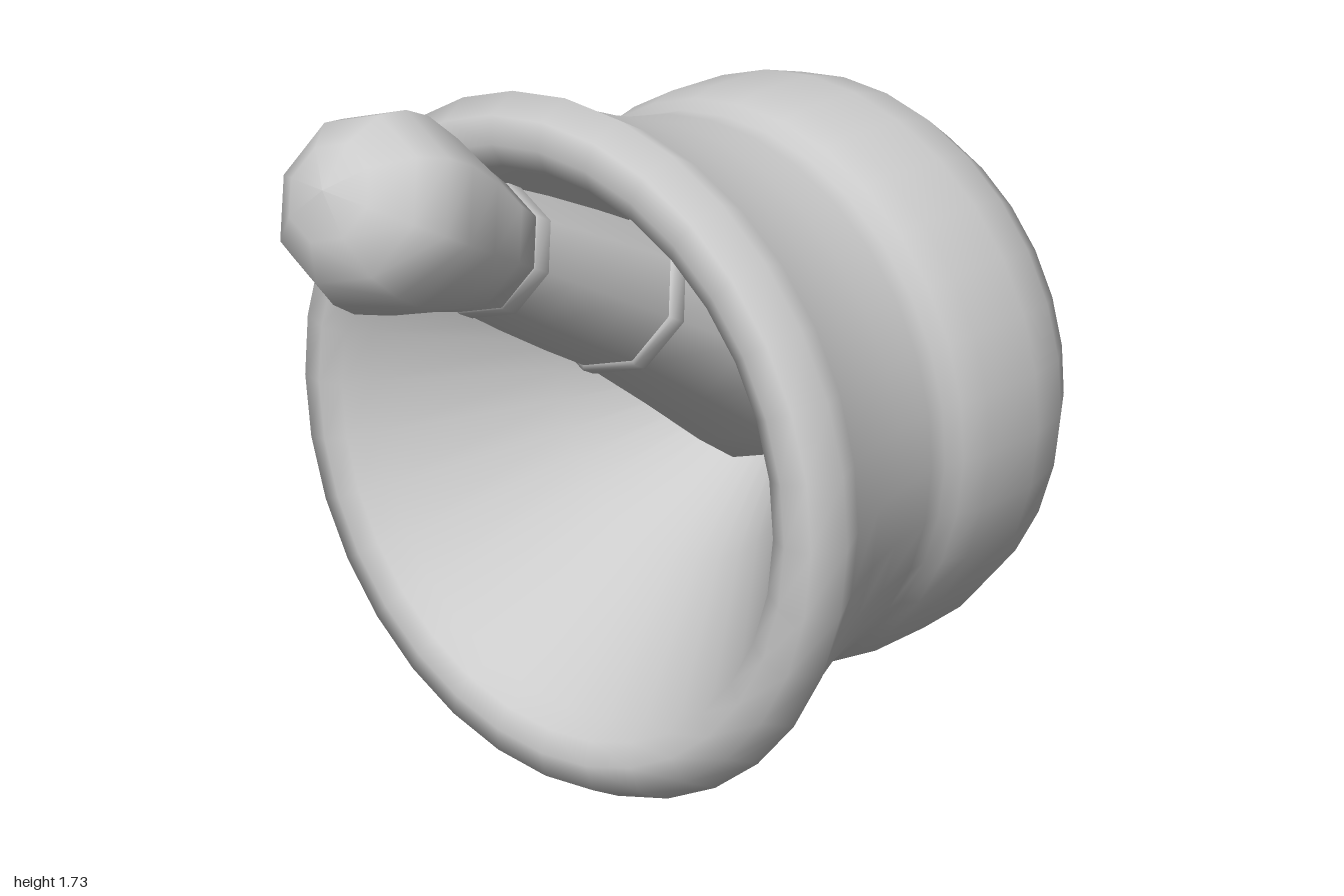
import * as THREE from 'three';

const material = new THREE.MeshStandardMaterial({ color: 0xcccccc });

// Revolved part from [radius, height] pairs, listed from bottom to top on the outside
function turned(name, profile, sides) {
  const points = profile.map(([r, h]) => new THREE.Vector2(r, h));
  const mesh = new THREE.Mesh(new THREE.LatheGeometry(points, sides), material);
  mesh.name = name;
  return mesh;
}

export function createModel() {
  const model = new THREE.Group();
  model.name = 'mortarAndPestle';

  // Mortar lying on its side: rounded foot, waist groove, flared rim, conical hollow
  const mortar = turned('mortar', [
    [0, -0.99], [0.36, -0.99], [0.565, -0.88], [0.64, -0.77], [0.67, -0.65],
    [0.67, -0.48], [0.655, -0.41], [0.637, -0.37], [0.64, -0.32], [0.66, -0.2],
    [0.695, -0.08], [0.74, 0.04], [0.787, 0.13], [0.75, 0.2], [0.69, 0.213],
    [0.64, 0.19], [0.61, 0.13], [0.35, -0.21], [0.1, -0.56], [0, -0.66],
  ], 32);
  mortar.geometry.rotateX(Math.PI / 2);
  mortar.position.y = 0.79;
  model.add(mortar);

  // Pestle built along its own axis, with the origin at the upper collar
  const pestle = new THREE.Group();
  pestle.name = 'pestle';
  const sides = 8;
  pestle.add(
    turned('pestleHandle', [
      [0, 0.02], [0.136, 0.02], [0.15, 0.09], [0.185, 0.22], [0.205, 0.33],
      [0.2, 0.4], [0.172, 0.47], [0.1, 0.53], [0, 0.55],
    ], sides),
    turned('upperCollar', [[0.13, -0.03], [0.14, -0.025], [0.14, 0.02], [0.13, 0.025]], sides),
    turned('pestleShaft', [[0.16, -0.46], [0.155, -0.3], [0.145, -0.12], [0.135, 0]], sides),
    turned('lowerCollar', [[0.16, -0.49], [0.17, -0.485], [0.17, -0.445], [0.155, -0.44]], sides),
    turned('pestleHead', [
      [0, -1.27], [0.13, -1.24], [0.22, -1.18], [0.25, -1.1], [0.235, -0.95],
      [0.195, -0.7], [0.162, -0.47],
    ], sides),
  );
  const axis = new THREE.Vector3(0.08, 0.46, 0.89).normalize();
  pestle.quaternion.setFromUnitVectors(new THREE.Vector3(0, 1, 0), axis);
  pestle.position.set(0.145, 1.37, 0.5);
  model.add(pestle);

  return model;
}
